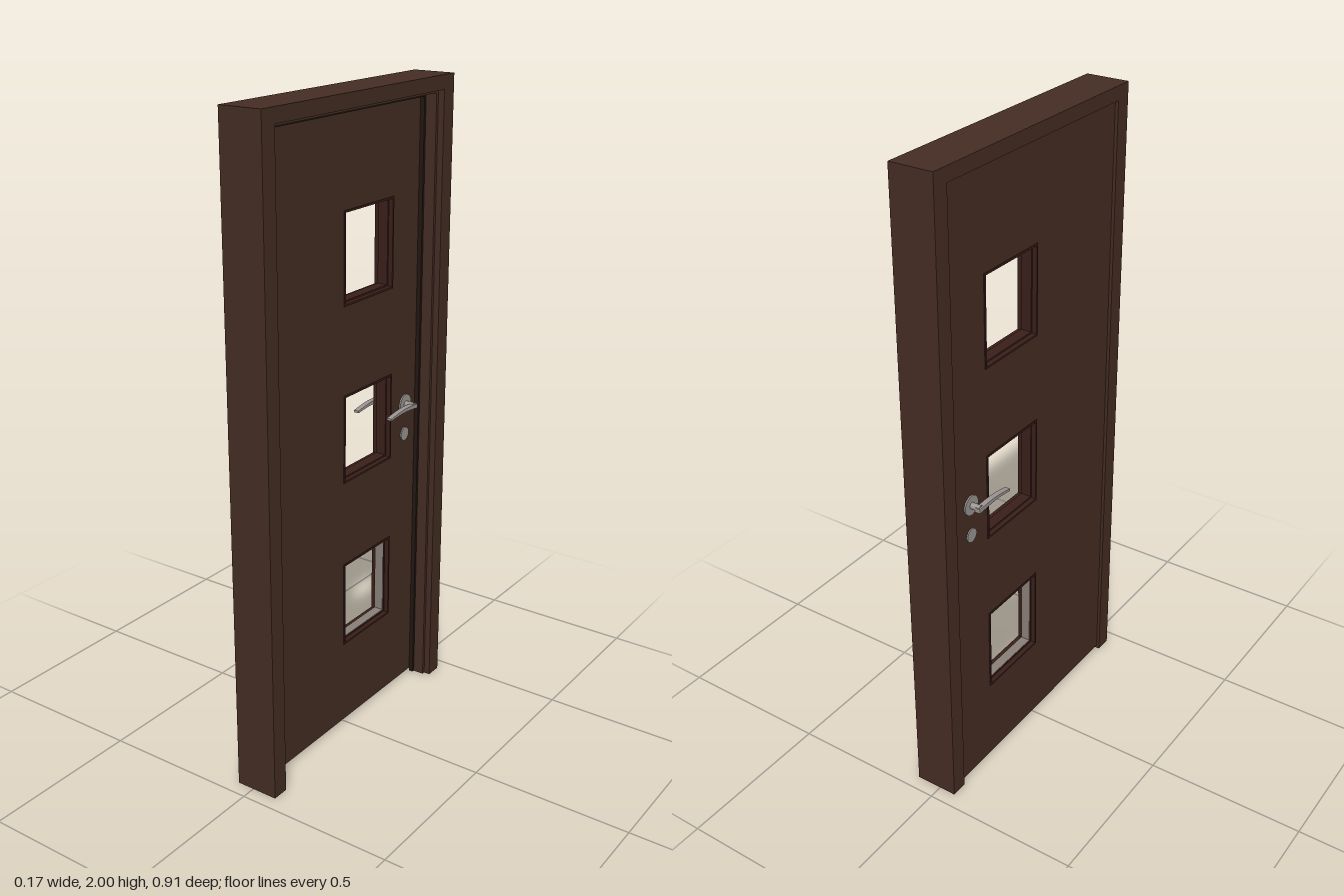
import * as THREE from 'three';

const mat = (name, color) => {
  const m = new THREE.MeshStandardMaterial({ color });
  m.name = name;
  return m;
};

export function createModel() {
  const wood = mat('brown wood', 0x452d23);
  const trim = mat('dark red trim', 0x3a1f1a);
  const seal = mat('dark seal', 0x241812);
  const steel = mat('satin steel', 0x9c9693);
  const lining = mat('pale lining', 0x8a8078);

  const door = new THREE.Group();
  door.name = 'door';
  const add = (name, geometry, material, parent = door) => {
    const mesh = new THREE.Mesh(geometry, material);
    mesh.name = name;
    parent.add(mesh);
    return mesh;
  };

  // Outlines are drawn across the door (u = -z, y) and extruded through x
  const slab = (shape, x0, x1) => {
    const g = new THREE.ExtrudeGeometry(shape, { depth: x1 - x0, bevelEnabled: false });
    return g.translate(0, 0, x0).rotateY(Math.PI / 2);
  };
  const points = (list) => list.map(([u, y]) => new THREE.Vector2(u, y));
  const rect = (u0, u1, y0, y1) => points([[u0, y0], [u1, y0], [u1, y1], [u0, y1]]);
  // Upside-down U: two jambs and a head
  const arch = (outer, top, inner, innerTop) => new THREE.Shape(points([
    [-outer, 0], [-inner, 0], [-inner, innerTop], [inner, innerTop],
    [inner, 0], [outer, 0], [outer, top], [-outer, top],
  ]));

  // Stepped frame
  add('frame', slab(arch(0.455, 2, 0.402, 1.957), -0.055, 0.082), wood);
  add('frameStop', slab(arch(0.402, 1.957, 0.392, 1.947), 0.014, 0.062), wood);
  add('frameSeal', slab(arch(0.392, 1.947, 0.384, 1.935), 0.012, 0.026), seal);

  // Leaf with three window openings
  const leafBack = -0.046, leafFront = 0.012;
  const u0 = -0.006, u1 = 0.246;
  const windows = [0.285, 0.835, 1.385].map((y) => [y, y + 0.278]);
  const leaf = new THREE.Shape(rect(-0.4, 0.4, 0.012, 1.954));
  for (const [y0, y1] of windows) leaf.holes.push(new THREE.Path(rect(u0, u1, y0, y1)));
  add('leaf', slab(leaf, leafBack, leafFront), wood);

  // Window trims: beads on both faces and a narrower middle ring
  const ring = (w, y0, y1) => {
    const s = new THREE.Shape(rect(u0, u1, y0, y1));
    s.holes.push(new THREE.Path(rect(u0 + w, u1 - w, y0 + w, y1 - w)));
    return s;
  };
  windows.forEach(([y0, y1], i) => {
    const group = new THREE.Group();
    group.name = 'windowTrim' + (i + 1);
    add('middleRing', slab(ring(0.011, y0, y1), -0.034, 0), trim, group);
    add('frontBead', slab(ring(0.006, y0, y1), 0, leafFront + 0.003), trim, group);
    add('backBead', slab(ring(0.006, y0, y1), leafBack - 0.003, -0.034), trim, group);
    door.add(group);
  });

  // Pale lining inside the lowest window
  const [l0, l1] = windows[0];
  const liner = new THREE.Shape(rect(u0 + 0.01, u1 - 0.01, l0 + 0.01, l1 - 0.01));
  liner.holes.push(new THREE.Path(rect(u0 + 0.013, u1 - 0.013, l0 + 0.013, l1 - 0.013)));
  add('windowLining', slab(liner, -0.032, -0.002), lining);

  // Handle set on each face; out is the direction away from the leaf
  const handleSet = (name, face, out) => {
    const set = new THREE.Group();
    set.name = name;
    const disc = (r, t) => new THREE.CylinderGeometry(r, r, t, 20).rotateZ(Math.PI / 2);
    add('rose', disc(0.031, 0.005), steel, set).position.set(face + out * 0.0025, 0.993, -0.325);
    add('keyRose', disc(0.022, 0.004), steel, set).position.set(face + out * 0.002, 0.892, -0.325);
    add('neck', disc(0.01, 0.036), steel, set).position.set(face + out * 0.018, 0.993, -0.325);
    // Lever: flat bar, slightly arched, tapering to its tip
    const bar = new THREE.BoxGeometry(0.017, 0.014, 0.146, 1, 1, 8);
    const p = bar.attributes.position;
    for (let i = 0; i < p.count; i++) {
      const t = p.getZ(i) / 0.146 + 0.5;
      p.setY(i, p.getY(i) * (1 - 0.5 * t) + 0.006 * Math.sin(Math.PI * t) - 0.004 * t);
    }
    bar.computeVertexNormals();
    add('lever', bar, steel, set).position.set(face + out * 0.0325, 0.991, -0.263);
    door.add(set);
  };
  handleSet('frontHandle', leafFront, 1);
  handleSet('backHandle', leafBack, -1);

  return door;
}
